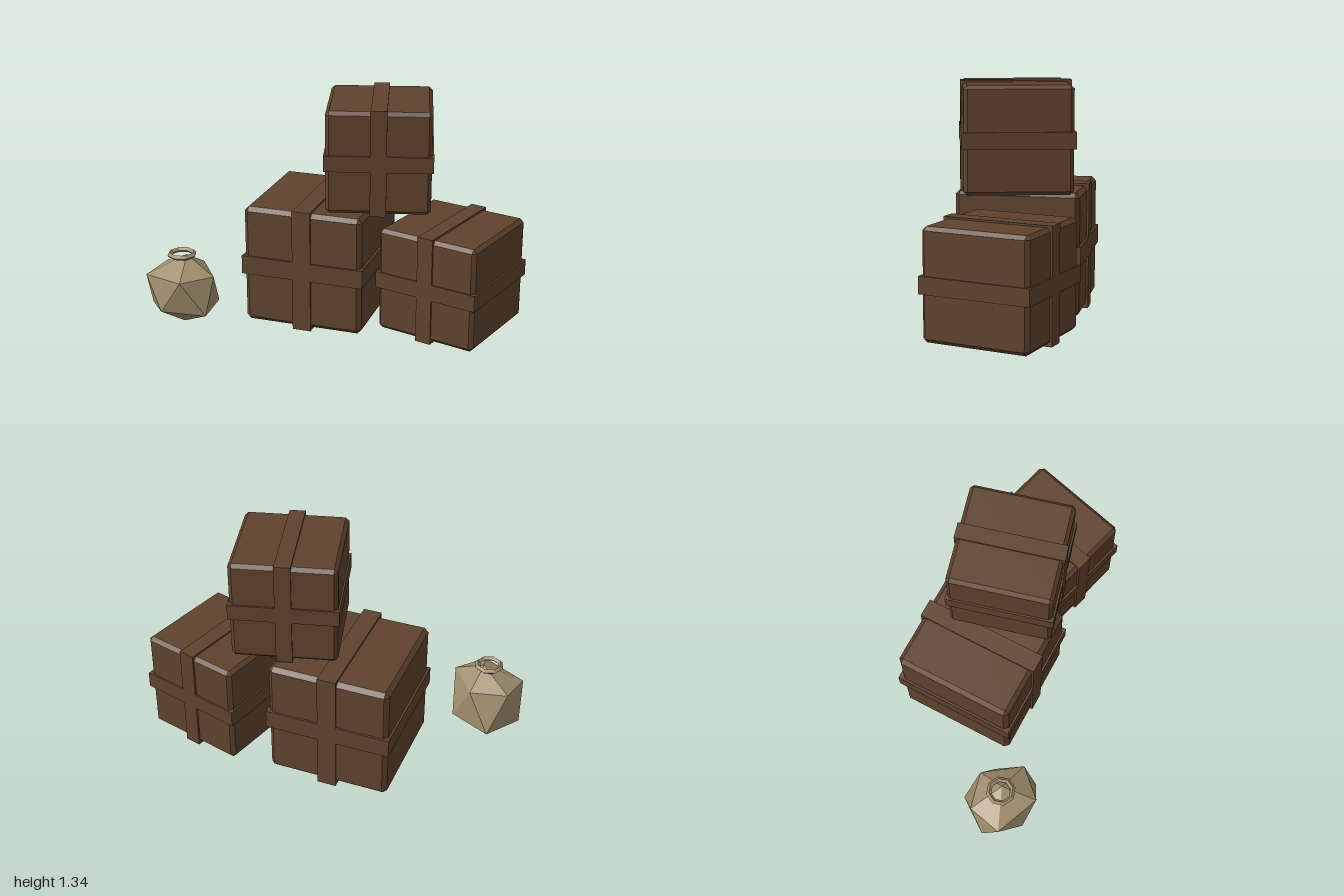
import * as THREE from 'three';
import { ConvexGeometry } from 'three/addons/geometries/ConvexGeometry.js';

const wood = new THREE.MeshStandardMaterial({ color: 0x5f432e, flatShading: true });
wood.name = 'dark brown wood';
const cloth = new THREE.MeshStandardMaterial({ color: 0xa08f6e, flatShading: true });
cloth.name = 'tan cloth';

function add(parent, name, geometry, material) {
  const mesh = new THREE.Mesh(geometry, material);
  mesh.name = name;
  parent.add(mesh);
  return mesh;
}

// Cube with every edge cut off at 45 degrees
function chamferedCube(size, cut) {
  const h = size / 2, k = h - cut, points = [];
  for (const x of [-1, 1]) for (const y of [-1, 1]) for (const z of [-1, 1]) {
    points.push(
      new THREE.Vector3(x * h, y * k, z * k),
      new THREE.Vector3(x * k, y * h, z * k),
      new THREE.Vector3(x * k, y * k, z * h));
  }
  return new ConvexGeometry(points);
}

// Crate with a level belt and an upright strap running front to back
function crate(name, size, x, y, z, turn) {
  const group = new THREE.Group();
  group.name = name;
  const outer = size * 1.035, width = size * 0.155;
  add(group, 'crateBody', chamferedCube(size, size * 0.035), wood);
  add(group, 'belt', new THREE.BoxGeometry(outer, width, outer), wood);
  add(group, 'uprightStrap', new THREE.BoxGeometry(width, outer, outer), wood);
  group.position.set(x, y, z);
  group.rotation.y = THREE.MathUtils.degToRad(turn);
  return group;
}

// Lumpy twenty-sided sack: two staggered rings of five between two tips
function sackGeometry() {
  const top = [-0.765, 0.435, 0.387], bottom = [-0.785, 0.023, 0.41];
  const upper = [[-0.578, 0.337, 0.417], [-0.706, 0.337, 0.582], [-0.975, 0.317, 0.497],
    [-0.952, 0.335, 0.294], [-0.745, 0.335, 0.225]];
  const lower = [[-0.588, 0.128, 0.508], [-0.84, 0.138, 0.574], [-1, 0.1, 0.396],
    [-0.877, 0.1, 0.19], [-0.636, 0.12, 0.257]];
  const corners = [];
  for (let i = 0; i < 5; i++) {
    const j = (i + 1) % 5;
    corners.push(top, upper[j], upper[i]);
    corners.push(upper[i], upper[j], lower[i]);
    corners.push(upper[j], lower[j], lower[i]);
    corners.push(bottom, lower[i], lower[j]);
  }
  const geometry = new THREE.BufferGeometry();
  geometry.setAttribute('position', new THREE.Float32BufferAttribute(corners.flat(), 3));
  geometry.computeVertexNormals();
  return geometry;
}

export function createModel() {
  const model = new THREE.Group();
  model.name = 'crateStack';

  model.add(crate('largeCrate', 0.702, -0.155, 0.364, -0.148, 5));
  model.add(crate('rightCrate', 0.613, 0.63, 0.32, -0.22, -10));
  model.add(crate('topCrate', 0.586, 0.198, 1.033, -0.173, 20));

  const sack = new THREE.Group();
  sack.name = 'sack';
  add(sack, 'sackBody', sackGeometry(), cloth);
  const tie = add(sack, 'sackTie', new THREE.TorusGeometry(0.07, 0.015, 4, 8), cloth);
  tie.rotation.x = Math.PI / 2;
  tie.position.set(-0.791, 0.437, 0.397);
  model.add(sack);

  return model;
}
